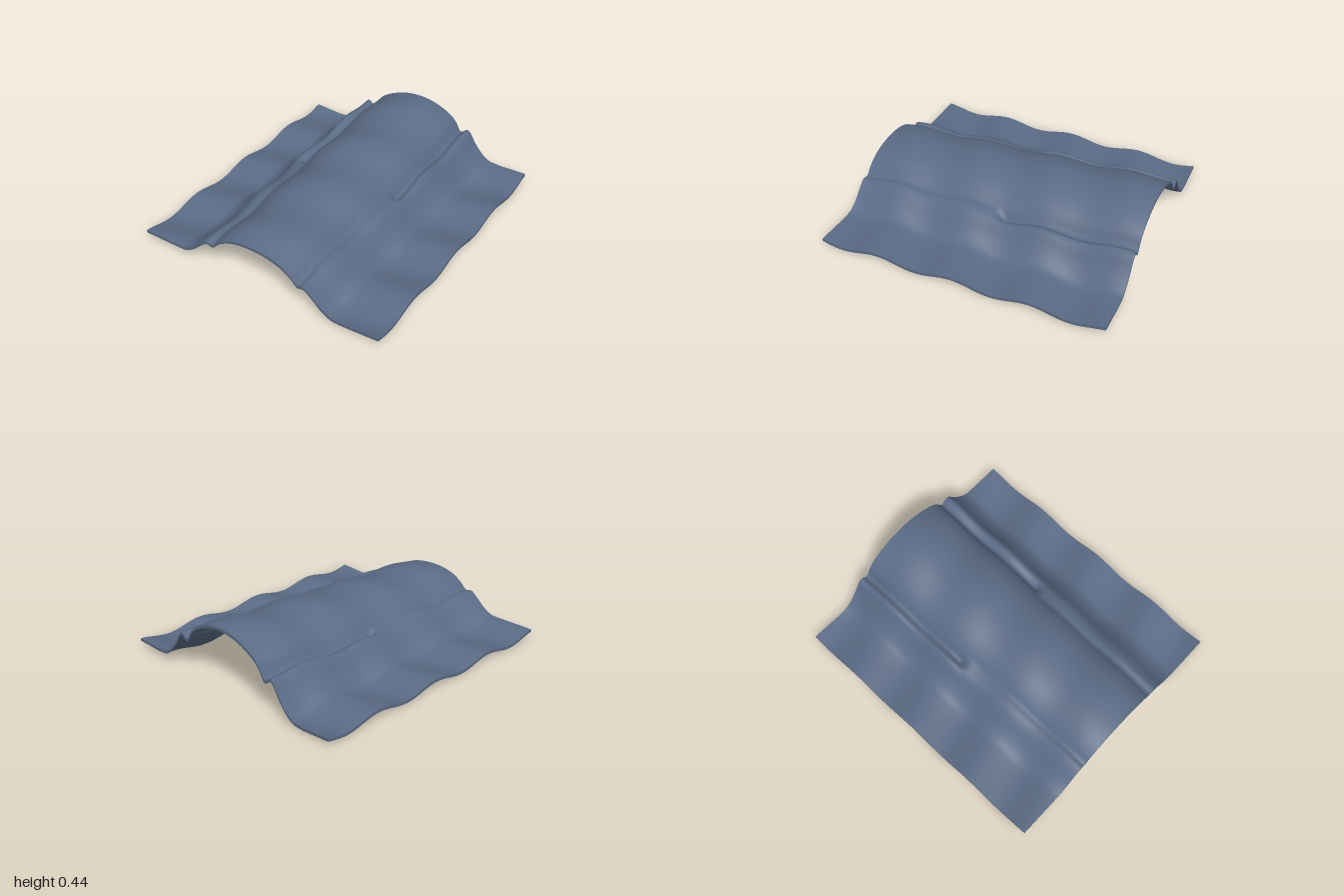
import * as THREE from 'three';

const ROWS = 100, SUB = 3, THICK = 0.02;

// Half cross-section heights at the front (z = 1) and the back (z = -1)
const KNOT_X = [0, 0.1, 0.2, 0.28, 0.33, 0.375, 0.43, 0.5, 0.57, 0.63, 0.91];
const FRONT_Y = [0.32, 0.313, 0.285, 0.235, 0.188, 0.195, 0.155, 0.09, 0.05, 0.043, 0.043];
const BACK_Y = [0.435, 0.425, 0.392, 0.348, 0.3, 0.265, 0.262, 0.165, 0.083, 0.046, 0.043];
const NOTCH = 5;

// Gentle diagonal ripples, stronger on the flat skirts
function ripple(x, z) {
  const amp = THREE.MathUtils.lerp(0.012, 0.02, THREE.MathUtils.smoothstep(Math.abs(x), 0.3, 0.65));
  return amp * Math.cos(11.7 * (z - 0.27 + 0.25 * x));
}

// Pinched point where each rear fold begins: abrupt in front, tapering backwards
function pinch(x, z) {
  const along = z > -0.08 ? Math.max(0, 1 - (z + 0.08) / 0.05) : Math.max(0, 1 - (-0.08 - z) / 0.3) ** 2;
  return along * Math.max(0, 1 - Math.abs(Math.abs(x) - 0.375) / 0.04);
}

// One row of the sheet, as a smooth curve through the blended knots
function section(z) {
  const t = (1 - z) / 2;
  const fold = 0.035 * THREE.MathUtils.smoothstep(-z, 0, 0.1);
  const half = KNOT_X.map((x, i) =>
    new THREE.Vector3(x, THREE.MathUtils.lerp(FRONT_Y[i], BACK_Y[i], t) - (i === NOTCH ? fold : 0), z));
  const left = half.slice(1).reverse().map(p => new THREE.Vector3(-p.x, p.y, z));
  const knots = [...left, ...half];
  return new THREE.CatmullRomCurve3(knots).getPoints((knots.length - 1) * SUB);
}

// Indexed grid from rows of points
function gridGeometry(rows, flip) {
  const n = rows[0].length, index = [];
  for (let r = 0; r < rows.length - 1; r++) {
    for (let c = 0; c < n - 1; c++) {
      const a = r * n + c, b = a + 1, d = a + n, e = d + 1;
      if (flip) index.push(a, b, d, b, e, d);
      else index.push(a, d, b, b, d, e);
    }
  }
  const g = new THREE.BufferGeometry().setFromPoints(rows.flat());
  g.setIndex(index);
  g.computeVertexNormals();
  return g;
}

export function createModel() {
  const group = new THREE.Group();
  group.name = 'drapedSheet';
  const cloth = new THREE.MeshStandardMaterial({ color: 0x5a6b85, side: THREE.DoubleSide });
  cloth.name = 'slateBlue';

  const top = [], bottom = [];
  for (let r = 0; r <= ROWS; r++) {
    const z = -1 + (2 * r) / ROWS;
    const row = section(z);
    top.push(row.map(p => new THREE.Vector3(p.x, p.y + ripple(p.x, z) - 0.02 * pinch(p.x, z), z)));
    bottom.push(row.map(p => new THREE.Vector3(p.x, p.y + ripple(p.x, z) - THICK - 0.13 * pinch(p.x, z), z)));
  }

  const add = (name, rows, flip) => {
    const mesh = new THREE.Mesh(gridGeometry(rows, flip), cloth);
    mesh.name = name;
    group.add(mesh);
  };
  // Upper and lower faces
  add('upperSurface', top, false);
  add('underside', bottom, true);

  // Thin rim closing the four sides
  const last = top[0].length - 1;
  const column = (rows, c) => rows.map(row => row[c]);
  add('frontEdge', [top[ROWS], bottom[ROWS]], false);
  add('backEdge', [top[0], bottom[0]], true);
  add('leftEdge', [column(top, last), column(bottom, last)], true);
  add('rightEdge', [column(top, 0), column(bottom, 0)], false);
  return group;
}
